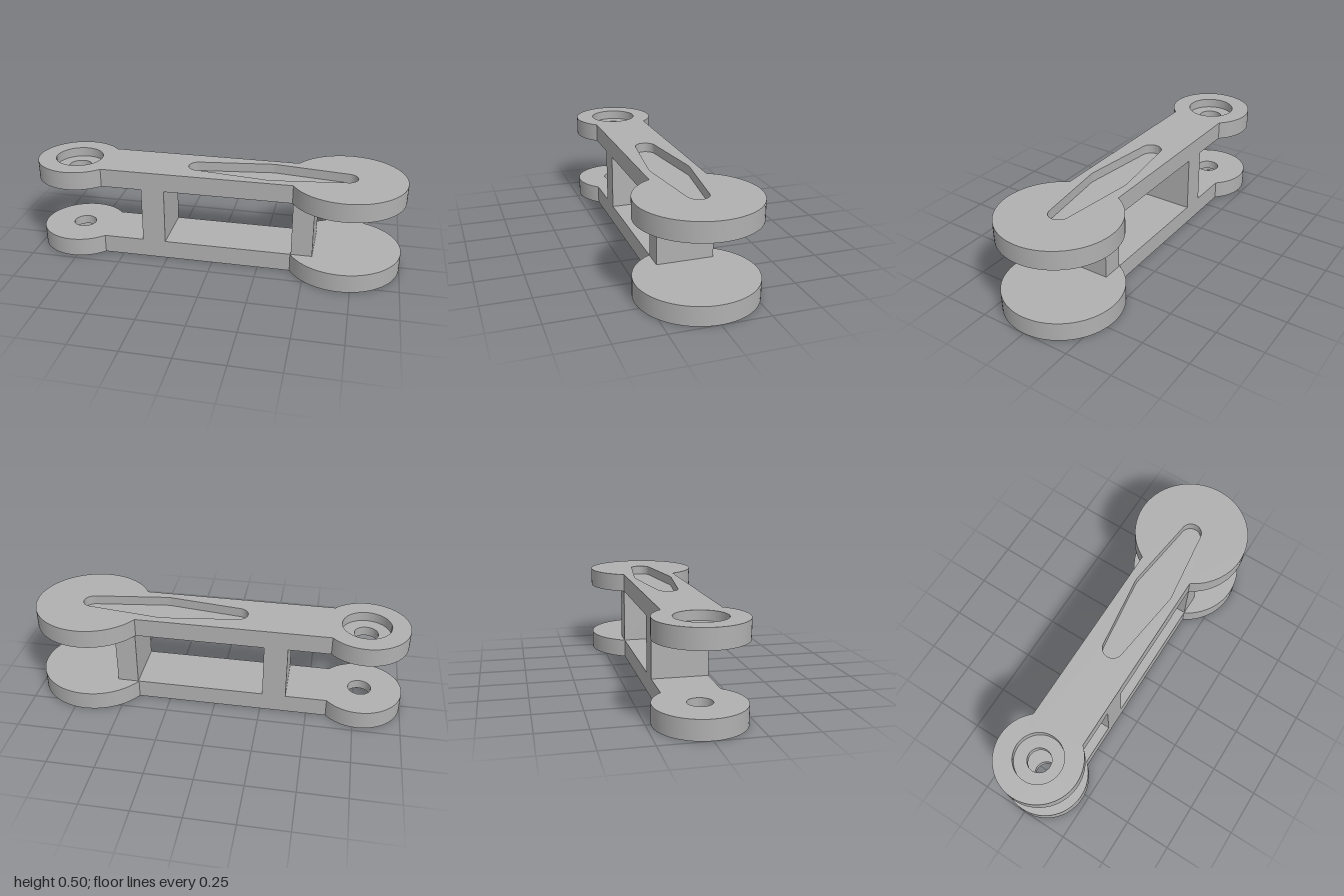
import * as THREE from 'three';
import { mergeGeometries, toCreasedNormals } from 'three/addons/utils/BufferGeometryUtils.js';

const T = 0.1;          // plate thickness
const RECESS = 0.05;    // depth of counterbore and slot
const HALF = 0.148;     // half width of the bar
const SMALL = { x: -0.775, r: 0.225 };
const BIG = { x: 0.693, r: 0.307 };
const SEGMENTS = 32;

// Bar with a round boss at each end
function linkOutline() {
  const a = Math.asin(HALF / SMALL.r), b = Math.asin(HALF / BIG.r);
  const s = new THREE.Shape();
  s.absarc(BIG.x, 0, BIG.r, -Math.PI + b, Math.PI - b, false);
  s.absarc(SMALL.x, 0, SMALL.r, a, Math.PI * 2 - a, false);
  s.closePath();
  return s;
}

function circle(x, r) {
  return new THREE.Shape().absarc(x, 0, r, 0, Math.PI * 2, false);
}

// Long lozenge with rounded ends and a softened widest point
function slotOutline() {
  const mid = 0.295, reach = 0.395, rEnd = 0.055, rMid = 0.105;
  const t = Math.asin((rMid - rEnd) / reach), q = Math.PI / 2;
  const s = new THREE.Shape();
  s.absarc(mid + reach, 0, rEnd, -q + t, q - t, false);
  s.absarc(mid, 0, rMid, q - t, q + t, false);
  s.absarc(mid - reach, 0, rEnd, q + t, 3 * q - t, false);
  s.absarc(mid, 0, rMid, 3 * q - t, 3 * q + t, false);
  s.closePath();
  return s;
}

// Horizontal face at height y, facing up or down
function face(outline, holes, y, up) {
  const s = outline.clone();
  s.holes = holes;
  return new THREE.ShapeGeometry(s, SEGMENTS).toNonIndexed()
    .rotateX(up ? -Math.PI / 2 : Math.PI / 2).translate(0, y, 0);
}

// Upright side surface of an outline, facing outward or into a hole
function wall(outline, y0, y1, inward = false) {
  const solid = new THREE.ExtrudeGeometry(outline, {
    depth: y1 - y0, bevelEnabled: false, curveSegments: SEGMENTS,
  });
  const { start, count } = solid.groups[1];
  const g = new THREE.BufferGeometry();
  for (const name of ['position', 'normal', 'uv']) {
    const a = solid.attributes[name], n = a.itemSize;
    g.setAttribute(name, new THREE.BufferAttribute(a.array.slice(start * n, (start + count) * n), n));
  }
  if (inward) {
    const p = g.attributes.position;
    for (let i = 0; i < p.count; i += 3) {
      const b = new THREE.Vector3().fromBufferAttribute(p, i + 1);
      const c = new THREE.Vector3().fromBufferAttribute(p, i + 2);
      p.setXYZ(i + 1, c.x, c.y, c.z);
      p.setXYZ(i + 2, b.x, b.y, b.z);
    }
  }
  return toCreasedNormals(g.rotateX(-Math.PI / 2).translate(0, y0, 0), 0.5);
}

// Link plate with its outer face at the top
function plateGeometry(withSlot) {
  const outline = linkOutline(), floor = T - RECESS;
  const bore = circle(SMALL.x, 0.062), counterbore = circle(SMALL.x, 0.128);
  const slot = slotOutline();
  const parts = [
    wall(outline, 0, T),
    face(outline, [bore], 0, false),
    face(outline, withSlot ? [counterbore, slot] : [counterbore], T, true),
    wall(bore, 0, floor, true),
    wall(counterbore, floor, T, true),
    face(counterbore, [bore], floor, true),
  ];
  if (withSlot) parts.push(wall(slot, floor, T, true), face(slot, [], floor, true));
  return mergeGeometries(parts);
}

export function createModel() {
  const group = new THREE.Group();
  group.name = 'linkArm';
  const grey = new THREE.MeshStandardMaterial({ color: 0xb0b0b0 });
  grey.name = 'grey';

  const add = (name, geometry, x, y) => {
    const mesh = new THREE.Mesh(geometry, grey);
    mesh.name = name;
    mesh.position.set(x, y, 0);
    group.add(mesh);
    return mesh;
  };

  add('topPlate', plateGeometry(true), 0, 0.4);
  add('bottomPlate', plateGeometry(false), 0, T).rotation.x = Math.PI;

  // Cross walls joining the plates
  for (const [name, x0, x1] of [['innerWall', -0.385, -0.26], ['outerWall', 0.428, 0.54]]) {
    add(name, new THREE.BoxGeometry(x1 - x0, 0.3, HALF * 2), (x0 + x1) / 2, 0.25);
  }
  return group;
}
